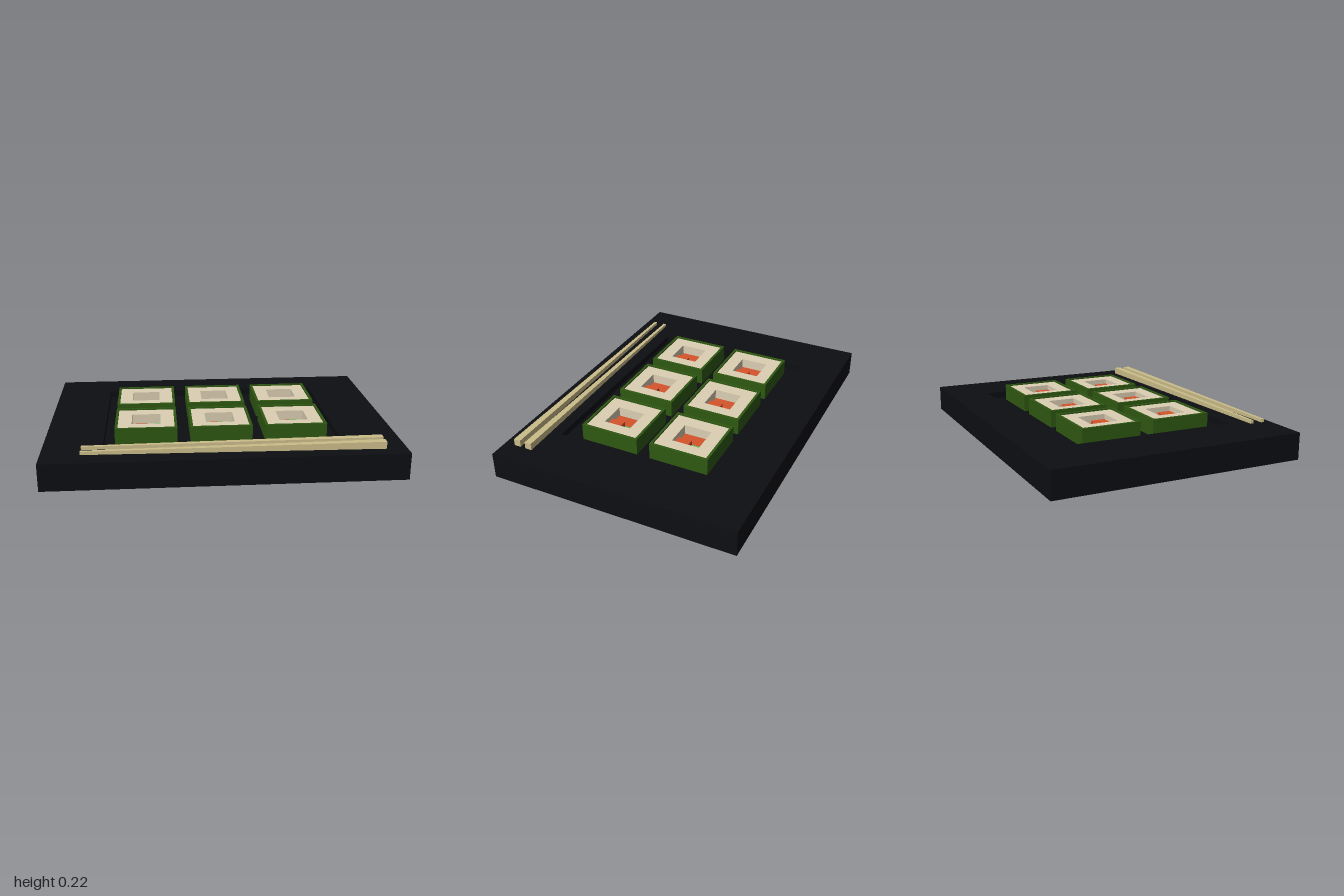
import * as THREE from 'three';

const mat = (color) => new THREE.MeshStandardMaterial({ color, flatShading: true });
const black = mat(0x0d0e12);
const seaweed = mat(0x2f5812);
const riceWhite = mat(0xdccfb4);
const salmon = mat(0xd6552d);
const cucumber = mat(0x5abe50);
const wood = mat(0xccbe8a);

function add(parent, name, geometry, material, x = 0, y = 0, z = 0) {
  const mesh = new THREE.Mesh(geometry, material);
  mesh.name = name;
  mesh.position.set(x, y, z);
  parent.add(mesh);
  return mesh;
}

// Rectangular frame lying flat, standing on its local y = 0
function frame(w, d, holeW, holeD, height) {
  const corners = (a, b) => [[-a, -b], [a, -b], [a, b], [-a, b]].map(([x, y]) => new THREE.Vector2(x / 2, y / 2));
  const shape = new THREE.Shape(corners(w, d));
  shape.holes.push(new THREE.Path(corners(holeW, holeD).reverse()));
  return new THREE.ExtrudeGeometry(shape, { depth: height, bevelEnabled: false }).rotateX(-Math.PI / 2);
}

const FLOOR = 0.115;   // sunken middle of the tray
const RIM = 0.155;
const ROLL = 0.355;
const RICE = 0.325;
const CORE = 0.166;

function createRoll() {
  const roll = new THREE.Group();
  roll.name = 'sushiRoll';
  add(roll, 'seaweedWrap', frame(ROLL, ROLL, RICE, RICE, 0.1), seaweed);
  add(roll, 'rice', frame(RICE, RICE, CORE, CORE, 0.092), riceWhite);

  // Sunken filling: a long strip, a green cube and a taller cube
  const h = CORE / 2, q = CORE / 4;
  const filling = (name, d, height, material, x, z) =>
    add(roll, name, new THREE.BoxGeometry(h, height, d), material, x, height / 2, z);
  filling('salmonStrip', CORE, 0.034, salmon, -q, 0);
  filling('cucumberCube', h, 0.034, cucumber, q, -q);
  filling('salmonCube', h, 0.062, salmon, q, q);
  return roll;
}

export function createModel() {
  const model = new THREE.Group();
  model.name = 'sushiTray';

  // Tray with a recessed middle
  const tray = new THREE.Group();
  tray.name = 'tray';
  model.add(tray);
  add(tray, 'trayBase', new THREE.BoxGeometry(2, FLOOR, 1.475), black, 0, FLOOR / 2, 0);
  add(tray, 'trayRim', frame(2, 1.475, 1.34, 1.0, RIM - FLOOR), black, 0, FLOOR, 0);

  // Two rows of three rolls
  for (const z of [-0.217, 0.217]) {
    for (const x of [-0.43, 0, 0.43]) {
      const roll = createRoll();
      roll.position.set(x, FLOOR, z);
      model.add(roll);
    }
  }

  // Square tapered chopsticks, thick end towards +x
  const stick = new THREE.CylinderGeometry(0.041 / Math.SQRT2, 0.018 / Math.SQRT2, 1.66, 4, 1)
    .rotateY(Math.PI / 4)
    .rotateZ(-Math.PI / 2);
  for (const z of [0.58, 0.652]) add(model, 'chopstick', stick, wood, 0.05, 0.18, z);

  return model;
}
